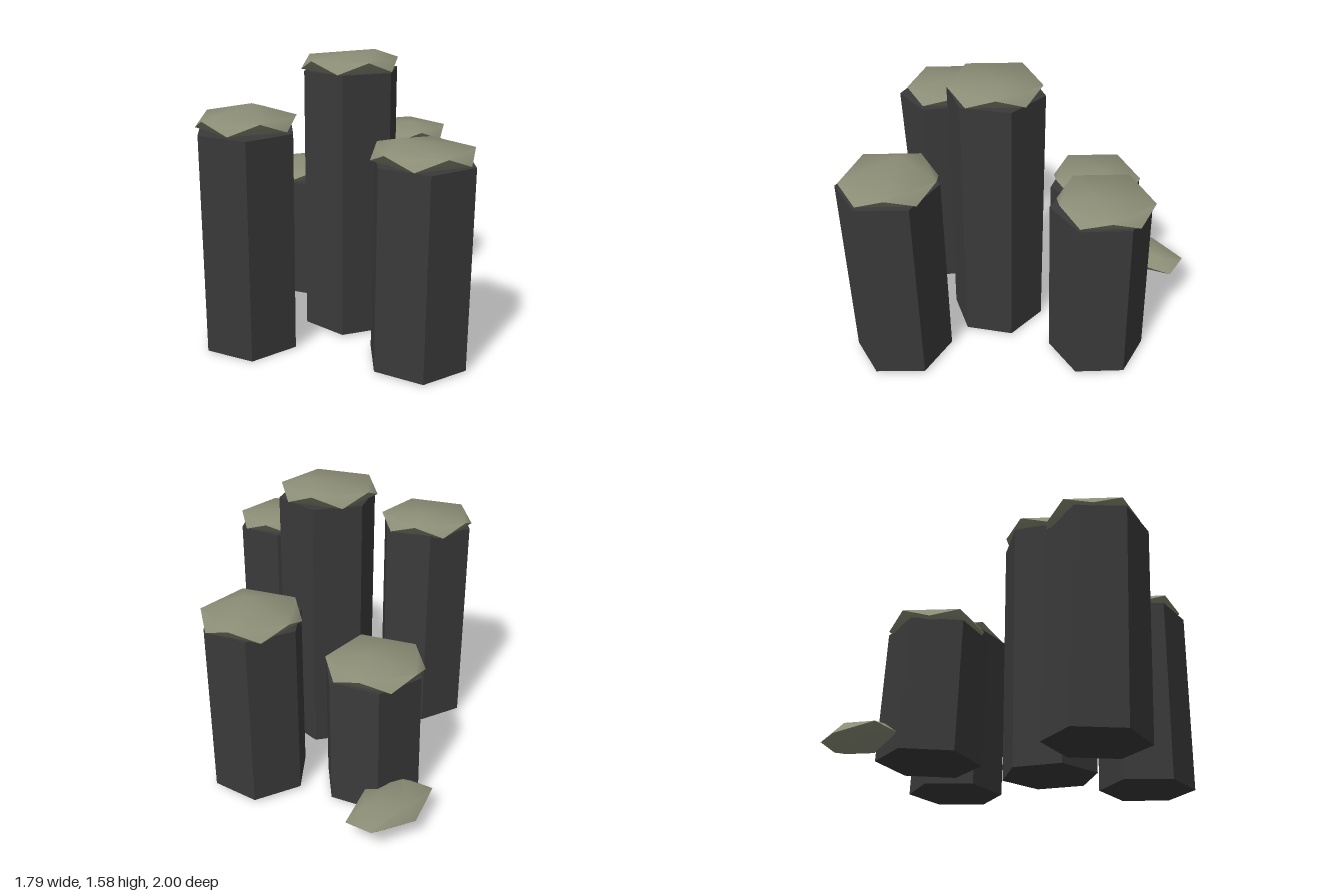
import * as THREE from 'three';
import { toCreasedNormals } from 'three/addons/utils/BufferGeometryUtils.js';

const deg = THREE.MathUtils.degToRad;

// Hexagonal column from a base point to a top point, leaning slightly by shear
function columnGeometry({ top, base, height, radius, turn }) {
  const y0 = 0.012;
  const g = new THREE.CylinderGeometry(radius, radius, height - y0, 6);
  g.rotateY(deg(turn));
  const p = g.attributes.position;
  for (let i = 0; i < p.count; i++) {
    const t = p.getY(i) > 0 ? 1 : 0;
    const x = p.getX(i), z = p.getZ(i);
    // the ends stay square to the lean
    const dip = ((top[0] - base[0]) * x + (top[1] - base[1]) * z) / height;
    p.setXYZ(i,
      x + THREE.MathUtils.lerp(base[0], top[0], t),
      THREE.MathUtils.lerp(y0, height, t) - dip,
      z + THREE.MathUtils.lerp(base[1], top[1], t));
  }
  return toCreasedNormals(g, 0.4);
}

// Flattened twenty-sided stone with a corner on top, its peak pushed off centre
function capGeometry([px, pz], radius = 0.295, h = 0.068) {
  const g = new THREE.IcosahedronGeometry(1, 0);
  g.rotateX(-Math.atan((1 + Math.sqrt(5)) / 2));
  g.rotateY(deg(-28));
  g.scale(radius, h, radius);
  const p = g.attributes.position;
  for (let i = 0; i < p.count; i++) {
    if (p.getY(i) > 0.9 * h) {
      p.setX(i, p.getX(i) + px);
      p.setZ(i, p.getZ(i) + pz);
    }
  }
  return toCreasedNormals(g, 0.9);
}

export function createModel() {
  const group = new THREE.Group();
  const basalt = new THREE.MeshStandardMaterial({ color: 0x3a3a3b });
  basalt.name = 'darkBasalt';
  const moss = new THREE.MeshStandardMaterial({ color: 0x8b8d76 });
  moss.name = 'mossGreen';

  // top and base are [x, z]; peak is the offset of the cap's highest point
  const columns = [
    { name: 'left', top: [-0.63, -0.1], base: [-0.6, -0.135], height: 1.22, radius: 0.275, turn: 16,
      cap: [-0.61, -0.12], peak: [0.11, -0.07] },
    { name: 'centre', top: [-0.025, 0.105], base: [-0.025, 0.105], height: 1.48, radius: 0.27, turn: 0,
      cap: [-0.035, 0.1], peak: [0.13, 0.07] },
    { name: 'front', top: [-0.215, 0.73], base: [-0.205, 0.715], height: 1.105, radius: 0.275, turn: 12,
      cap: [-0.21, 0.72], peak: [-0.05, -0.12] },
    { name: 'right', top: [0.615, -0.015], base: [0.625, -0.035], height: 0.98, radius: 0.272, turn: 13,
      cap: [0.635, -0.025], peak: [-0.03, 0.09] },
    { name: 'back', top: [0.22, -0.505], base: [0.225, -0.525], height: 0.735, radius: 0.275, turn: 21,
      cap: [0.215, -0.52], peak: [0.05, 0.02] },
  ];

  for (const c of columns) {
    const column = new THREE.Mesh(columnGeometry(c), basalt);
    column.name = c.name + 'Column';
    const cap = new THREE.Mesh(capGeometry(c.peak), moss);
    cap.name = c.name + 'Cap';
    cap.position.set(c.cap[0], c.height + 0.032, c.cap[1]);
    group.add(column, cap);
  }

  // Loose flat stone beside the back column
  const g = new THREE.IcosahedronGeometry(1, 0);
  g.rotateX(deg(20));
  g.rotateY(deg(4));
  g.scale(0.285, 0.07, 0.168);
  const stone = new THREE.Mesh(toCreasedNormals(g, 0.9), moss);
  stone.name = 'looseStone';
  stone.position.set(0.41, 0.125, -0.835);
  group.add(stone);

  return group;
}
